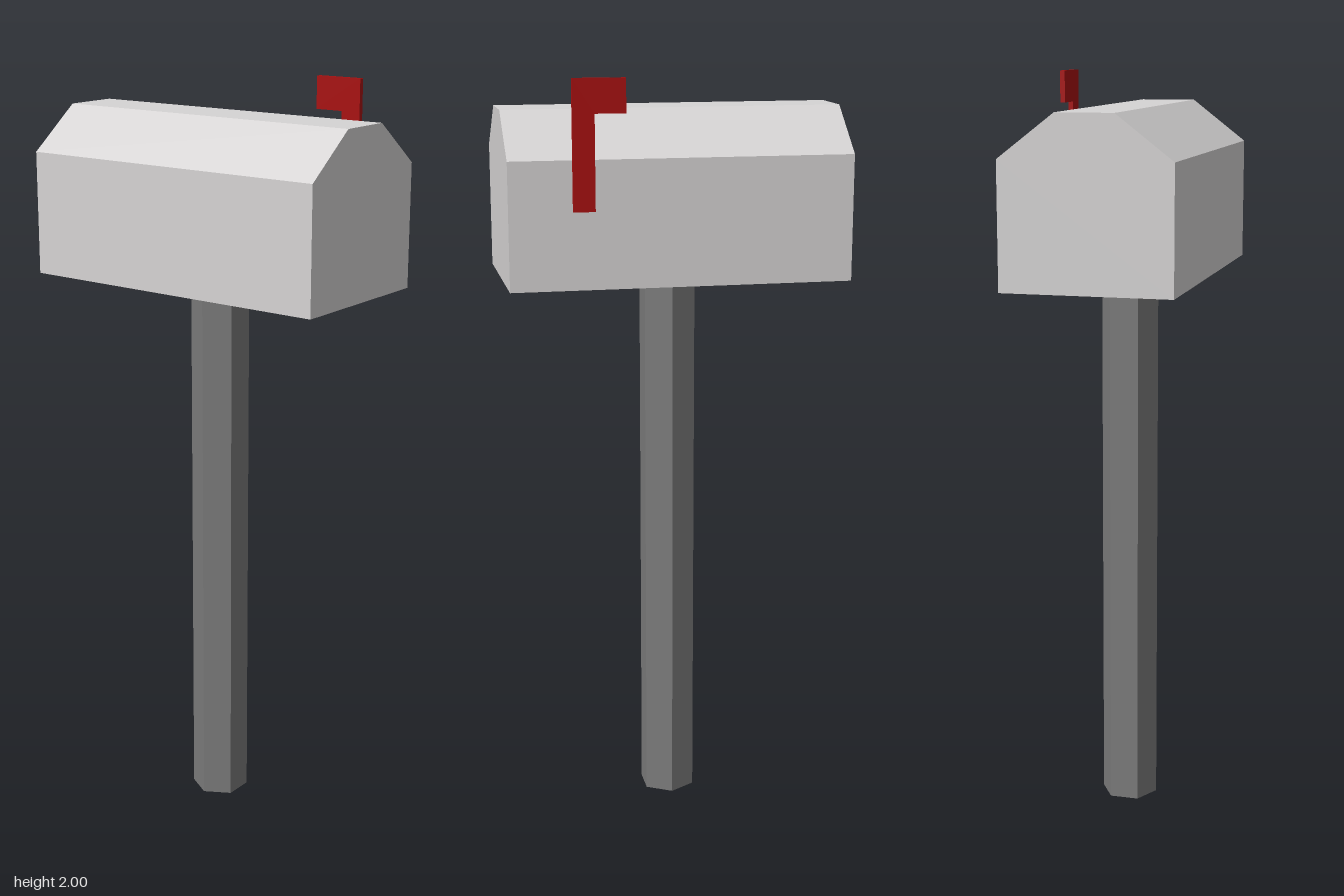
import * as THREE from 'three';

const material = (name, color) => {
  const m = new THREE.MeshStandardMaterial({ color });
  m.name = name;
  return m;
};

// Straight-edged outline extruded to a depth centred on its plane
function slab(points, depth) {
  const shape = new THREE.Shape(points.map(([x, y]) => new THREE.Vector2(x, y)));
  return new THREE.ExtrudeGeometry(shape, { depth, bevelEnabled: false, steps: 1 })
    .translate(0, 0, -depth / 2);
}

export function createModel() {
  const group = new THREE.Group();
  group.name = 'mailbox';
  const lightGrey = material('light grey', 0xd6d4d4);
  const darkGrey = material('dark grey', 0x7b7b7b);
  const red = material('flag red', 0xa81010);
  const add = (name, geometry, mat) => {
    const mesh = new THREE.Mesh(geometry, mat);
    mesh.name = name;
    group.add(mesh);
    return mesh;
  };

  const centreZ = 0.006;
  const boxBottom = 1.48;

  // Hexagonal post with a corner facing front
  const post = add('post',
    new THREE.CylinderGeometry(0.077, 0.077, boxBottom, 6).toNonIndexed(), darkGrey);
  post.geometry.computeVertexNormals();
  post.position.set(0, boxBottom / 2, centreZ);

  // Box with sloped shoulders, its profile swept along x
  const box = add('box', slab([
    [-0.22, boxBottom], [0.22, boxBottom], [0.22, 1.803],
    [0.074, 1.915], [-0.074, 1.915], [-0.22, 1.803],
  ], 0.88).rotateY(Math.PI / 2), lightGrey);
  box.position.z = centreZ;

  // Signal flag on the back: upright stem with the tab at its top
  const flag = add('flag', slab([
    [0.225, 1.677], [0.28, 1.677], [0.28, 2],
    [0.147, 2], [0.147, 1.915], [0.225, 1.915],
  ], 0.013), red);
  flag.position.z = -0.2205;

  return group;
}
